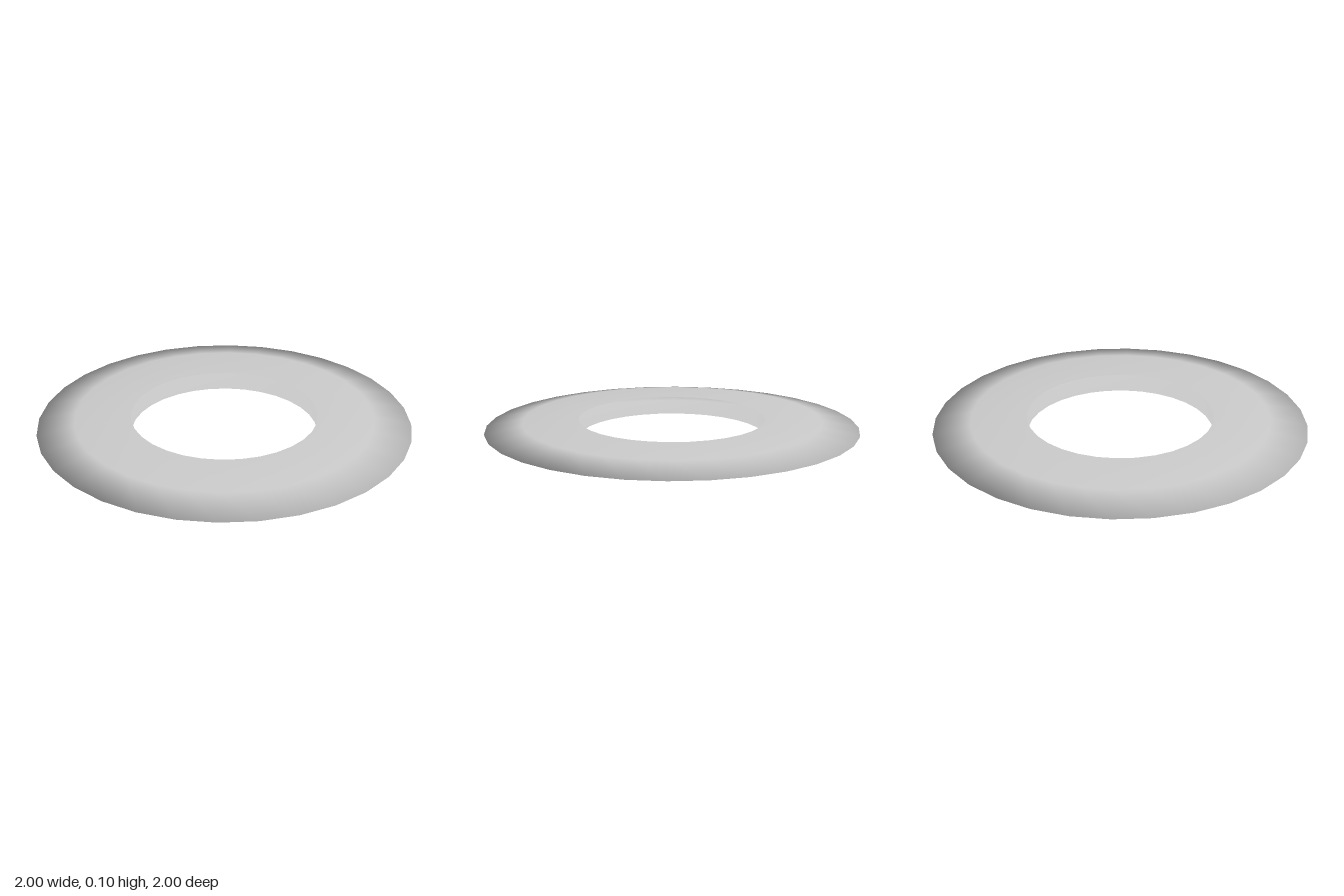
import * as THREE from 'three';

const SEGMENTS = 32;

export function createModel() {
  const model = new THREE.Group();
  model.name = 'ring';

  // Cross-section from the lower inner rim, around the thin outer edge, to the upper inner rim.
  // The hole side stays open, so both faces of the shell are shown.
  const profile = [
    [0.5, 0],
    [0.8, 0.008],
    [1, 0.049],
    [0.8, 0.09],
    [0.5, 0.098],
  ].map(([r, y]) => new THREE.Vector2(r, y));

  const shell = new THREE.Mesh(
    new THREE.LatheGeometry(profile, SEGMENTS),
    new THREE.MeshStandardMaterial({ color: 0xcccccc, side: THREE.DoubleSide })
  );
  shell.name = 'ringShell';
  model.add(shell);

  return model;
}
